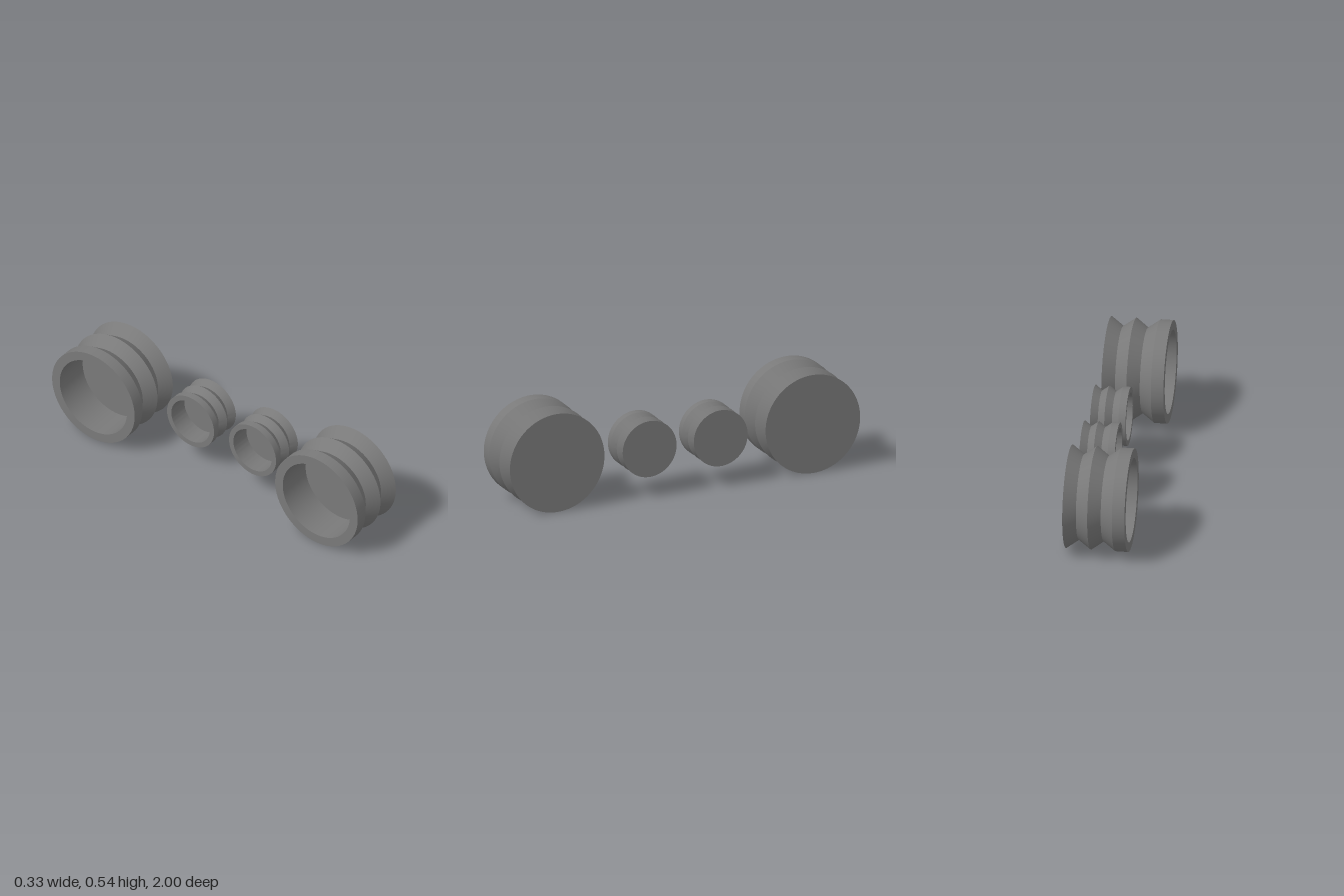
import * as THREE from 'three';
import { toCreasedNormals } from 'three/addons/utils/BufferGeometryUtils.js';

const AXIS_Y = 0.27;  // shared height of all axes

// Grooved cup: [radius, distance along axis back from the closed face]
const PROFILE = [
  [0, -0.131], [0.22, -0.131], [0.22, -0.326],  // bore floor and wall
  [0.27, -0.326], [0.27, -0.26],                // rim and straight band
  [0.223, -0.195], [0.27, -0.131],              // first V groove
  [0.223, -0.065], [0.27, 0],                   // second V groove
  [0, 0],                                       // closed face
];

function grooveGeometry(scale) {
  const points = PROFILE.map(([r, d]) => new THREE.Vector2(r * scale, d * scale));
  const geometry = new THREE.LatheGeometry(points, 96);
  geometry.rotateZ(-Math.PI / 2); // axis along x, closed face towards +x
  return toCreasedNormals(geometry, 0.4);
}

export function createModel() {
  const group = new THREE.Group();
  group.name = 'groovedPlugs';
  const material = new THREE.MeshStandardMaterial({ color: 0x797979 });

  // Two sizes, each mirrored front to back
  const sizes = [
    { name: 'largePlug', scale: 1, endX: 0.161, z: 0.73 },
    { name: 'smallPlug', scale: 0.57, endX: 0.163, z: 0.203 },
  ];
  for (const { name, scale, endX, z } of sizes) {
    const geometry = grooveGeometry(scale);
    for (const side of [1, -1]) {
      const plug = new THREE.Mesh(geometry, material);
      plug.name = name + (side > 0 ? 'Front' : 'Back');
      plug.position.set(endX, AXIS_Y, side * z);
      group.add(plug);
    }
  }
  return group;
}
